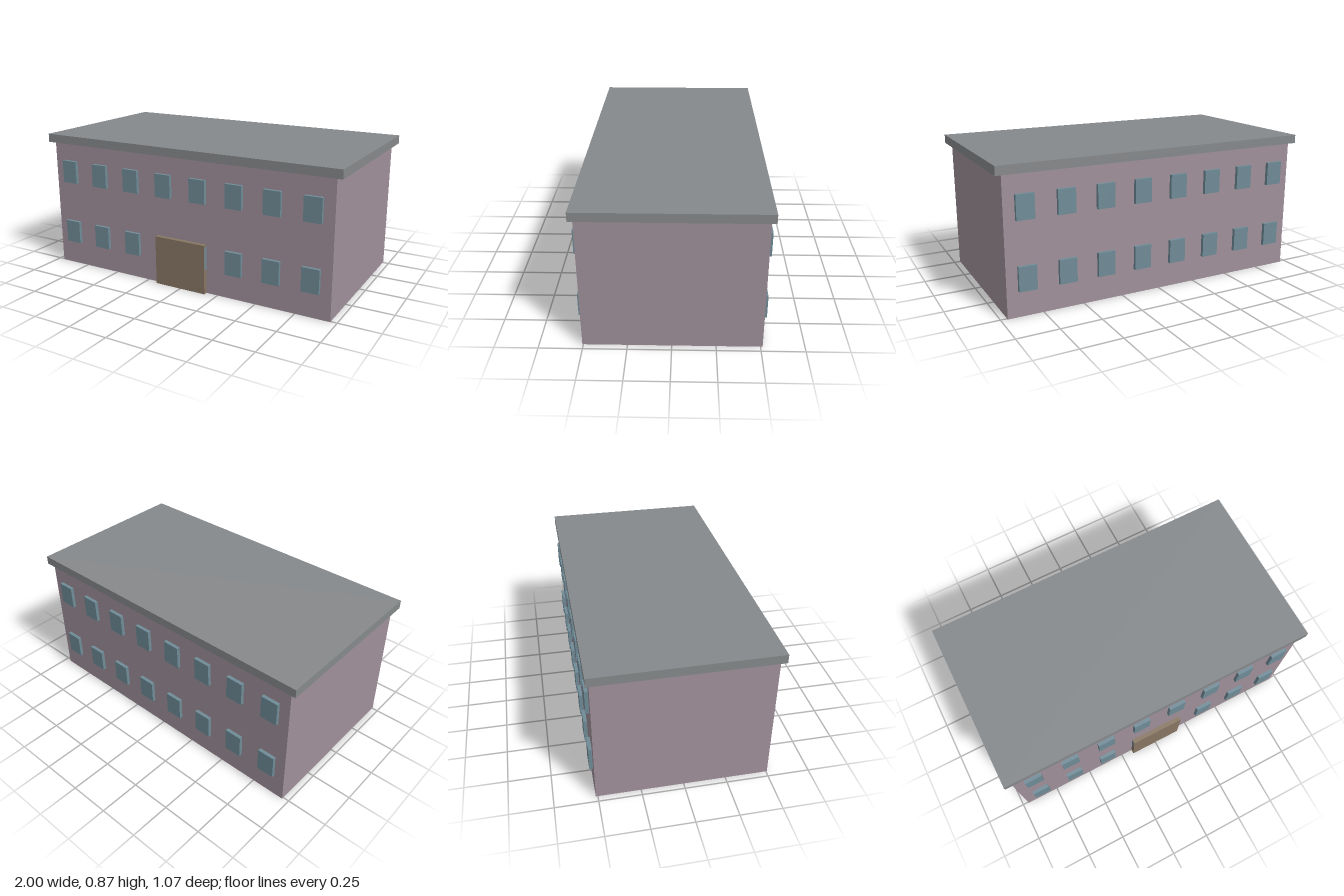
import * as THREE from 'three';

function material(name, color) {
  const m = new THREE.MeshStandardMaterial({ color });
  m.name = name;
  return m;
}

export function createModel() {
  const model = new THREE.Group();
  model.name = 'building';

  const wall = material('mauve wall', 0xa0909a);
  const roofGrey = material('roof grey', 0x86898b);
  const glass = material('blue glass', 0x708c98);
  const wood = material('brown door', 0x877663);

  // Box given by its size, base height and centre
  function box(name, mat, w, h, d, x, y, z, parent = model) {
    const mesh = new THREE.Mesh(new THREE.BoxGeometry(w, h, d), mat);
    mesh.name = name;
    mesh.position.set(x, y + h / 2, z);
    parent.add(mesh);
    return mesh;
  }

  const centreZ = -0.003;
  const wallDepth = 1.018;

  // Main block and overhanging flat roof slab
  box('walls', wall, 1.924, 0.817, wallDepth, 0, 0, centreZ);
  box('roof', roofGrey, 2, 0.053, 1.06, 0, 0.817, centreZ);

  // Two rows of eight projecting windows on the front and back
  for (const side of [1, -1]) {
    const row = new THREE.Group();
    row.name = side > 0 ? 'frontWindows' : 'backWindows';
    model.add(row);
    const z = centreZ + side * (wallDepth / 2);
    for (const y of [0.153, 0.56]) {
      for (let i = 0; i < 8; i++) {
        box('window', glass, 0.107, 0.145, 0.042, (i - 3.5) * 0.2405, y, z, row);
      }
    }
  }

  // Wide entrance door standing proud of the front wall
  box('door', wood, 0.347, 0.31, 0.034, 0, 0, 0.517);

  return model;
}
